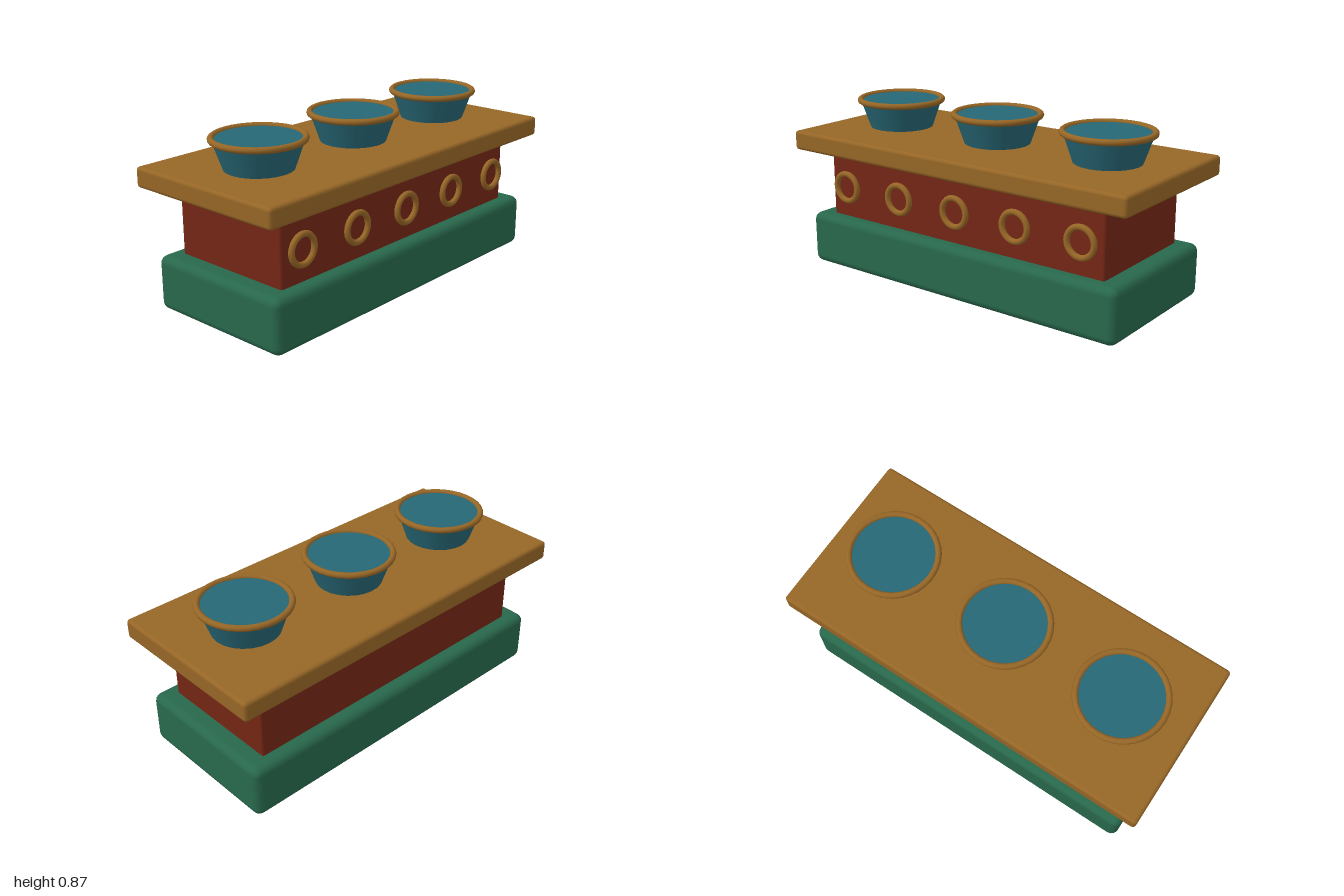
import * as THREE from 'three';
import { RoundedBoxGeometry } from 'three/addons/geometries/RoundedBoxGeometry.js';

const material = (name, color) => {
  const m = new THREE.MeshStandardMaterial({ color });
  m.name = name;
  return m;
};

export function createModel() {
  const green = material('green', 0x28684c);
  const red = material('brick red', 0x732614);
  const brass = material('brass', 0x966626);
  const teal = material('teal', 0x276775);
  const model = new THREE.Group();
  model.name = 'bowlCounter';

  const add = (name, geometry, mat, x, y, z, parent = model) => {
    const mesh = new THREE.Mesh(geometry, mat);
    mesh.name = name;
    mesh.position.set(x, y, z);
    parent.add(mesh);
    return mesh;
  };

  // Stacked blocks: plinth, body and counter slab
  const block = (name, mat, width, depth, y0, y1, radius) => add(name,
    new RoundedBoxGeometry(width, y1 - y0, depth, 2, radius), mat, 0, (y0 + y1) / 2, 0);
  block('plinth', green, 1.874, 0.8, 0, 0.273, 0.04);
  block('body', red, 1.674, 0.656, 0.25, 0.64, 0.012);
  block('counterSlab', brass, 2, 0.878, 0.615, 0.716, 0.018);

  // Rings along the front of the body
  const ringGeometry = new THREE.TorusGeometry(0.072, 0.015, 10, 28);
  for (let i = -2; i <= 2; i++) add('frontRing', ringGeometry, brass, i * 0.36, 0.435, 0.347);

  // Filled flaring bowls with round rims on the counter
  const bowlGeometry = new THREE.CylinderGeometry(0.215, 0.163, 0.15, 24);
  const rimGeometry = new THREE.TorusGeometry(0.215, 0.0155, 10, 32).rotateX(Math.PI / 2);
  for (let i = -1; i <= 1; i++) {
    const bowl = new THREE.Group();
    bowl.name = 'bowl';
    bowl.position.x = i * 0.64;
    add('bowlBasin', bowlGeometry, teal, 0, 0.785, 0, bowl);
    add('bowlRim', rimGeometry, brass, 0, 0.858, 0, bowl);
    model.add(bowl);
  }
  return model;
}
